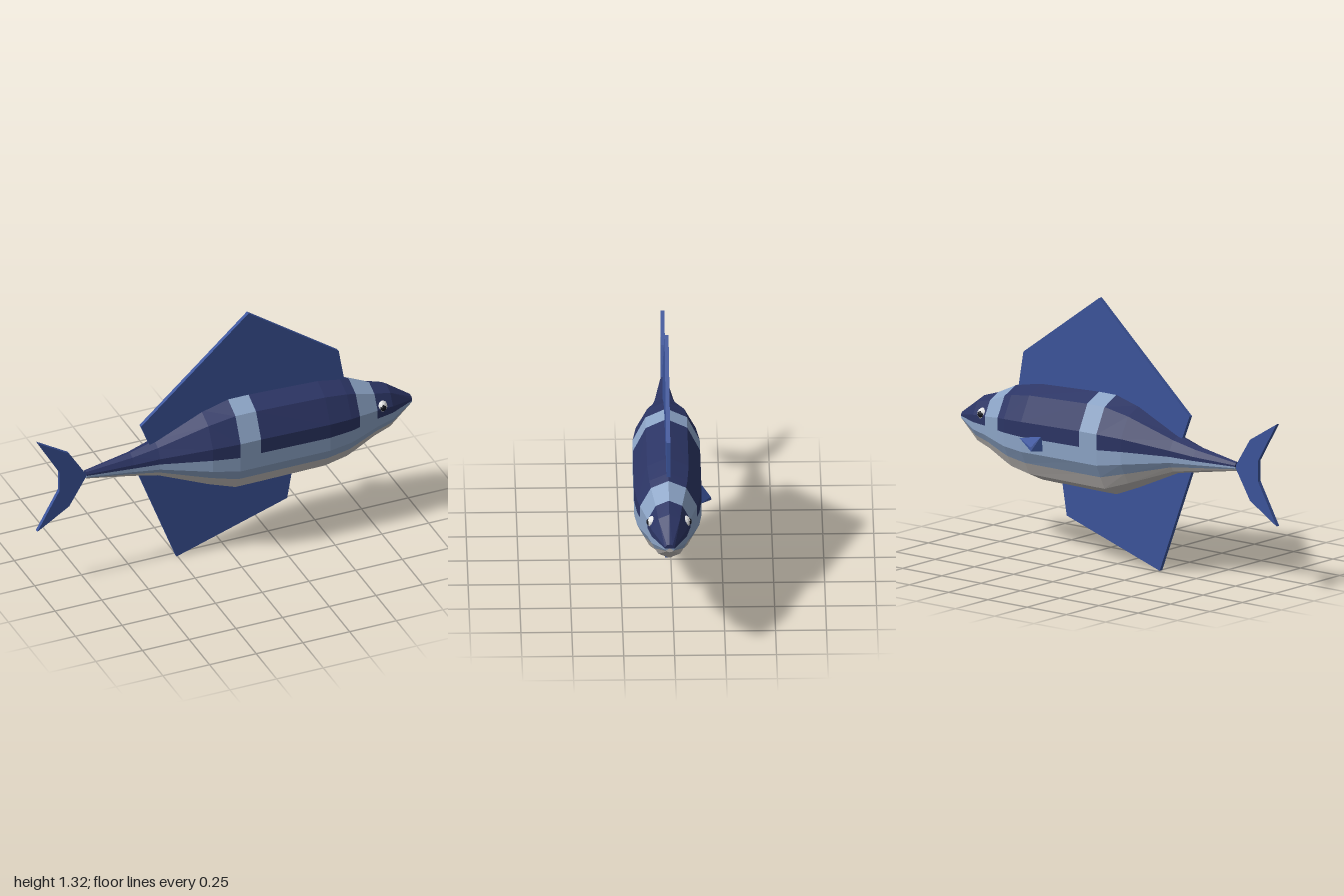
import * as THREE from 'three';
import { ConvexGeometry } from 'three/addons/geometries/ConvexGeometry.js';

const material = (name, color, extra = {}) =>
  new THREE.MeshStandardMaterial({ name, color, ...extra });

const MID_Z = 0.024;

// body stations along the fish: x, top y, bottom y, half width in z
const STATIONS = [
  [-0.74, 0.597, 0.597, 0],
  [-0.74, 0.62, 0.575, 0.016],
  [-0.5, 0.662, 0.532, 0.047],
  [-0.37, 0.7, 0.505, 0.072],
  [-0.12, 0.812, 0.395, 0.147],
  [0.02, 0.85, 0.34, 0.165],
  [0.13, 0.85, 0.34, 0.165],
  [0.5, 0.834, 0.345, 0.165],
  [0.62, 0.812, 0.37, 0.152],
  [0.67, 0.795, 0.392, 0.14],
  [0.78, 0.744, 0.443, 0.105],
  [0.87, 0.715, 0.475, 0.087],
  [1.0, 0.618, 0.575, 0.024],
  [1.0, 0.597, 0.597, 0],
];
// ring steps from the back (0) to the belly (5); halves are colour borders
const STEPS = [0, 1, 2, 2.5, 3, 3.5, 4, 5];

function ringPoint([x, top, bottom, width], step, side) {
  const corner = (k) => {
    const a = (k * Math.PI) / 5;
    return [Math.cos(a), Math.sin(a) / Math.sin((2 * Math.PI) / 5)];
  };
  const lo = corner(Math.floor(step)), hi = corner(Math.ceil(step));
  const c = (lo[0] + hi[0]) / 2, s = (lo[1] + hi[1]) / 2;
  return [x, (top + bottom) / 2 + (c * (top - bottom)) / 2, MID_Z + side * s * width];
}

// ten-sided hull, split into one mesh per colour
function makeBody(mats) {
  const faces = { back: [], flanks: [], belly: [] };
  for (let i = 0; i < STATIONS.length - 1; i++) {
    const p = STATIONS[i], q = STATIONS[i + 1];
    const middle = (p[0] + q[0]) / 2;
    const stripe = (middle > 0.02 && middle < 0.13) || (middle > 0.67 && middle < 0.78);
    for (let j = 0; j < STEPS.length - 1; j++) {
      const part = STEPS[j] >= 3.5 ? 'belly' : STEPS[j] >= 2.5 || stripe ? 'flanks' : 'back';
      for (const side of [1, -1]) {
        const a = ringPoint(p, STEPS[j], side), b = ringPoint(q, STEPS[j], side);
        const c = ringPoint(q, STEPS[j + 1], side), d = ringPoint(p, STEPS[j + 1], side);
        faces[part].push(...(side > 0 ? [a, d, c, a, c, b] : [a, b, c, a, c, d]).flat());
      }
    }
  }
  const body = new THREE.Group();
  body.name = 'body';
  for (const [name, list] of Object.entries(faces)) {
    const geo = new THREE.BufferGeometry();
    geo.setAttribute('position', new THREE.Float32BufferAttribute(list, 3));
    geo.computeVertexNormals();
    const mesh = new THREE.Mesh(geo, mats[name]);
    mesh.name = name;
    body.add(mesh);
  }
  return body;
}

// flat upright fin, extruded across the middle plane
function makeFin(name, outline, mat) {
  const shape = new THREE.Shape(outline.map(([x, y]) => new THREE.Vector2(x, y)));
  const geo = new THREE.ExtrudeGeometry(shape, { depth: 0.02, bevelEnabled: false });
  geo.translate(0, 0, MID_Z - 0.01);
  const mesh = new THREE.Mesh(geo, mat);
  mesh.name = name;
  return mesh;
}

// squashed white eye with a dark pupil bulging out of it
function makeEye(name, side, white, black) {
  const eye = new THREE.Group();
  eye.name = name;
  const ball = new THREE.Mesh(new THREE.SphereGeometry(0.03, 10, 8), white);
  ball.name = 'eyeWhite';
  const pupil = new THREE.Mesh(new THREE.SphereGeometry(0.019, 10, 8), black);
  pupil.name = 'pupil';
  pupil.position.set(0, 0, side * 0.015);
  eye.add(ball, pupil);
  eye.position.set(0.812, 0.645, MID_Z + side * 0.078);
  return eye;
}

export function createModel() {
  const navy = material('navy', 0x2c3565);
  const paleBlue = material('paleBlue', 0x8ca4c6);
  const belly = material('bellyGrey', 0xc2bebb);
  const finBlue = material('finBlue', 0x3c559c);
  const white = material('eyeWhite', 0xe6e6e6, { flatShading: true });
  const black = material('pupilBlack', 0x14161f, { flatShading: true });

  const fish = new THREE.Group();
  fish.name = 'fish';
  fish.add(makeBody({ back: navy, flanks: paleBlue, belly }));

  fish.add(makeFin('dorsalFin', [
    [-0.38, 0.64], [0.66, 0.7], [0.645, 0.79], [0.613, 0.975], [0.13, 1.318], [-0.445, 0.805],
  ], finBlue));
  fish.add(makeFin('analFin', [
    [-0.47, 0.56], [-0.255, 0], [0.337, 0.19], [0.366, 0.36], [0.37, 0.45],
  ], finBlue));
  fish.add(makeFin('tailFin', [
    [-0.735, 0.597], [-0.83, 0.747], [-1, 0.85], [-0.882, 0.65],
    [-0.882, 0.543], [-1, 0.335], [-0.83, 0.44],
  ], finBlue));

  // small side fin, on the right flank only
  const sideFin = new THREE.Mesh(new ConvexGeometry([
    [0.52, 0.585, -0.135], [0.37, 0.61, -0.145], [0.355, 0.535, -0.13],
    [0.395, 0.542, -0.192], [0.4, 0.56, -0.188],
  ].map((p) => new THREE.Vector3(...p))), finBlue);
  sideFin.name = 'rightSideFin';
  fish.add(sideFin);

  fish.add(makeEye('nearEye', 1, white, black), makeEye('farEye', -1, white, black));
  return fish;
}
